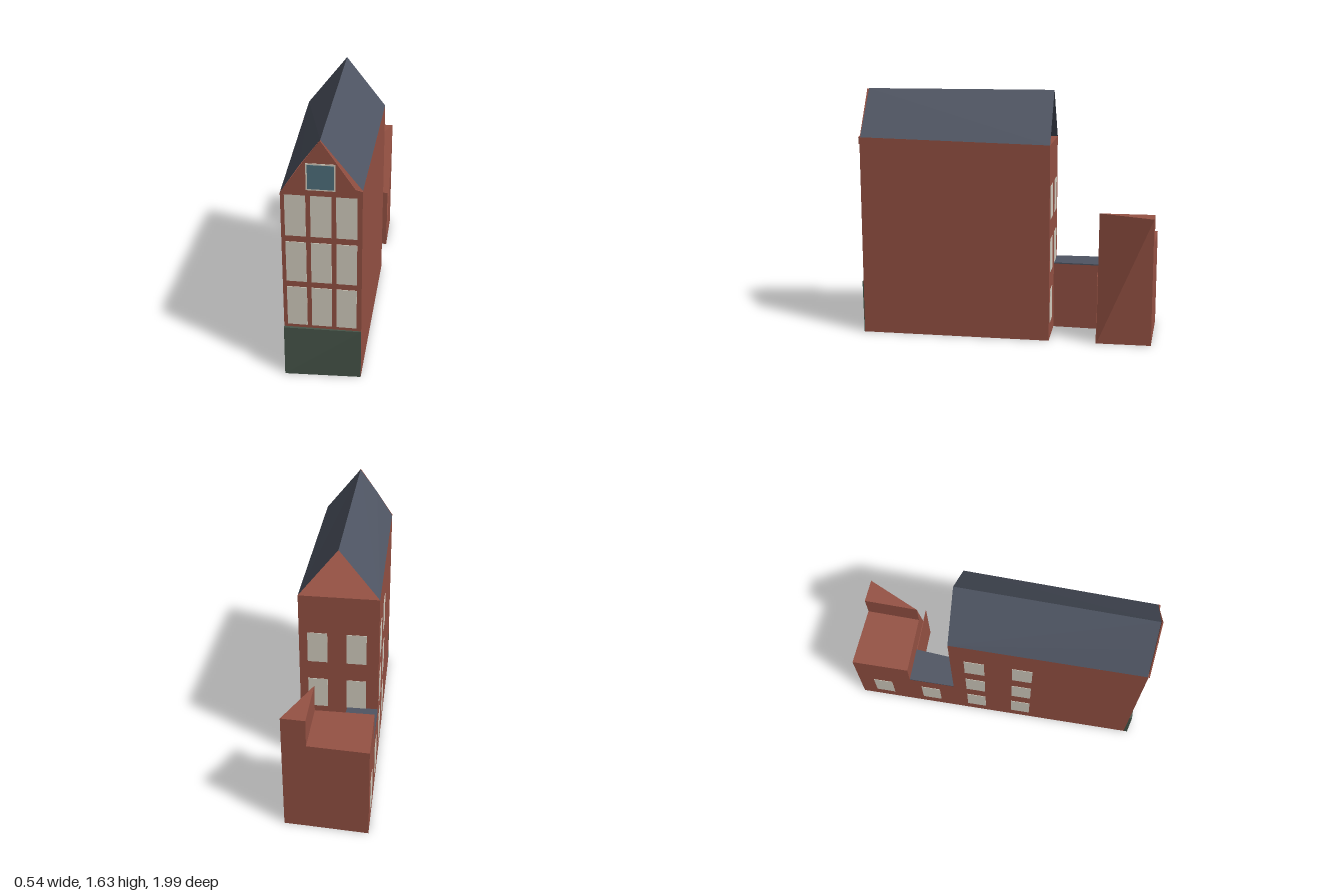
import * as THREE from 'three';
import { ConvexGeometry } from 'three/addons/geometries/ConvexGeometry.js';

const mat = (name, color, side = THREE.FrontSide) => {
  const m = new THREE.MeshStandardMaterial({ color, side });
  m.name = name;
  return m;
};

export function createModel() {
  const group = new THREE.Group();
  const brick = mat('brick red', 0x965244);
  const slate = mat('slate grey', 0x4f5563, THREE.DoubleSide);
  const cream = mat('cream', 0xd6d0c2);
  const green = mat('shop green', 0x47564a);
  const glass = mat('teal glass', 0x50727f);

  const add = (name, geometry, material) => {
    const mesh = new THREE.Mesh(geometry, material);
    mesh.name = name;
    group.add(mesh);
    return mesh;
  };
  const v = (p) => new THREE.Vector3(...p);
  const hull = (name, pts, material) => add(name, new ConvexGeometry(pts.map(v)), material);

  // Upright block over a footprint of [x, z] corners
  const prism = (name, foot, y0, y1, material) => {
    const shape = new THREE.Shape(foot.map(([x, z]) => new THREE.Vector2(x, -z)));
    const g = new THREE.ExtrudeGeometry(shape, { depth: y1 - y0, bevelEnabled: false });
    g.rotateX(-Math.PI / 2).translate(0, y0, 0);
    return add(name, g, material);
  };

  // Thin plate on a wall; a and b are [x, z], left to right from outside
  const plate = (name, a, b, y0, y1, material, thick = 0.008) => {
    const dx = b[0] - a[0], dz = b[1] - a[1];
    const mesh = add(name, new THREE.BoxGeometry(Math.hypot(dx, dz), y1 - y0, thick), material);
    mesh.position.set((a[0] + b[0]) / 2, (y0 + y1) / 2, (a[1] + b[1]) / 2);
    mesh.rotation.y = Math.atan2(-dz, dx);
    return mesh;
  };

  // Flat fan of triangles around the first corner
  const sheet = (name, pts, material) => {
    const tris = [];
    for (let i = 1; i < pts.length - 1; i++) tris.push(v(pts[0]), v(pts[i]), v(pts[i + 1]));
    const g = new THREE.BufferGeometry().setFromPoints(tris);
    g.computeVertexNormals();
    return add(name, g, material);
  };

  // The long side wall splays outward toward the back
  const sideX = (z) => -0.235 - 0.02 * (0.96 - z);
  const F = 0.96, B = -0.3, Y = -0.615;

  // Main house body, with the attic floor as its top
  hull('mainHouse', [
    [sideX(F), 0, F], [0.24, 0, F], [0.26, 0, B], [sideX(B), 0, B],
    [sideX(F), 1.29, F], [0.24, 1.33, F], [0.26, 1.3, B], [sideX(B), 1.3, B],
  ], brick);

  // Roof: thin slopes, open at the back
  const R = 0.955, ridgeF = [0, 1.635, R], ridgeB = [0, 1.635, B];
  sheet('roofLeft', [ridgeF, [0.24, 1.33, R], [0.26, 1.3, B], ridgeB], slate);
  sheet('roofRight', [[sideX(B), 1.3, B], [sideX(R), 1.29, R], [-0.12, 1.47, R], ridgeF, ridgeB], slate);

  // Front gable and its window
  const gable = new THREE.Shape([[-0.235, 1.285], [0.24, 1.285], [0.24, 1.33], [0.2, 1.34],
    [0, 1.635], [-0.115, 1.47], [-0.235, 1.29]].map((p) => new THREE.Vector2(...p)));
  const gableGeo = new THREE.ExtrudeGeometry(gable, { depth: 0.008, bevelEnabled: false });
  add('frontGable', gableGeo.translate(0, 0, 0.959), brick);
  plate('gableWindowFrame', [-0.084, 0.967], [0.086, 0.967], 1.322, 1.492, cream, 0.006);
  plate('gableWindowGlass', [-0.075, 0.969], [0.077, 0.969], 1.331, 1.483, glass, 0.006);

  // Green shop front, leaning out on one side
  hull('shopFront', [
    [-0.235, 0, 0.985], [-0.235, 0.353, 0.978], [0.24, 0.353, 0.968], [0.24, 0, 0.963],
    [-0.235, 0, 0.95], [-0.235, 0.353, 0.95], [0.24, 0.353, 0.95], [0.24, 0, 0.95],
  ], green);

  // Three by three front windows
  for (const y of [0.375, 0.692, 1.01])
    for (const x of [-0.15, 0, 0.15])
      plate('frontWindow', [x - 0.061, F], [x + 0.061, F], y, y + 0.276, cream);

  // Link building with a flat roof
  const linkFoot = [[sideX(B), B], [-0.055, B], [-0.038, Y], [sideX(Y), Y]];
  prism('linkBuilding', linkFoot, 0, 0.448, brick);
  prism('linkRoof', linkFoot, 0.448, 0.456, slate);

  // Rear house: low part, leaning tall part and the yard wall beside it
  const rear = -0.978;
  prism('rearHouse', [[sideX(Y), Y], [0.115, Y], [0.115, rear], [sideX(-1), -1]], 0, 0.65, brick);
  hull('rearTower', [
    [0.115, 0, Y], [0.27, 0, Y], [0.27, 0, -0.97], [0.115, 0, rear],
    [0.115, 0.84, Y], [0.27, 0.84, -0.97], [0.115, 0.84, rear],
  ], brick);
  plate('yardWall', [-0.04, -0.613], [0.27, -0.613], 0, 0.45, brick, 0.004);

  // Windows along the side wall
  const sideWindow = (z, y) =>
    plate('sideWindow', [sideX(z), z], [sideX(z + 0.133), z + 0.133], y, y + 0.225, cream, 0.006);
  for (const y of [0.1, 0.455, 0.815])
    for (const z of [-0.207, 0.112]) sideWindow(z, y);
  for (const z of [-0.54, -0.89]) sideWindow(z, 0.1);

  // Windows in the back wall above the yard
  for (const y of [0.11, 0.455, 0.81])
    for (const x of [0.205, -0.05])
      if (x > 0 || y > 0.4) plate('backWindow', [x, B], [x - 0.13, B], y, y + 0.22, cream, 0.006);

  return group;
}
